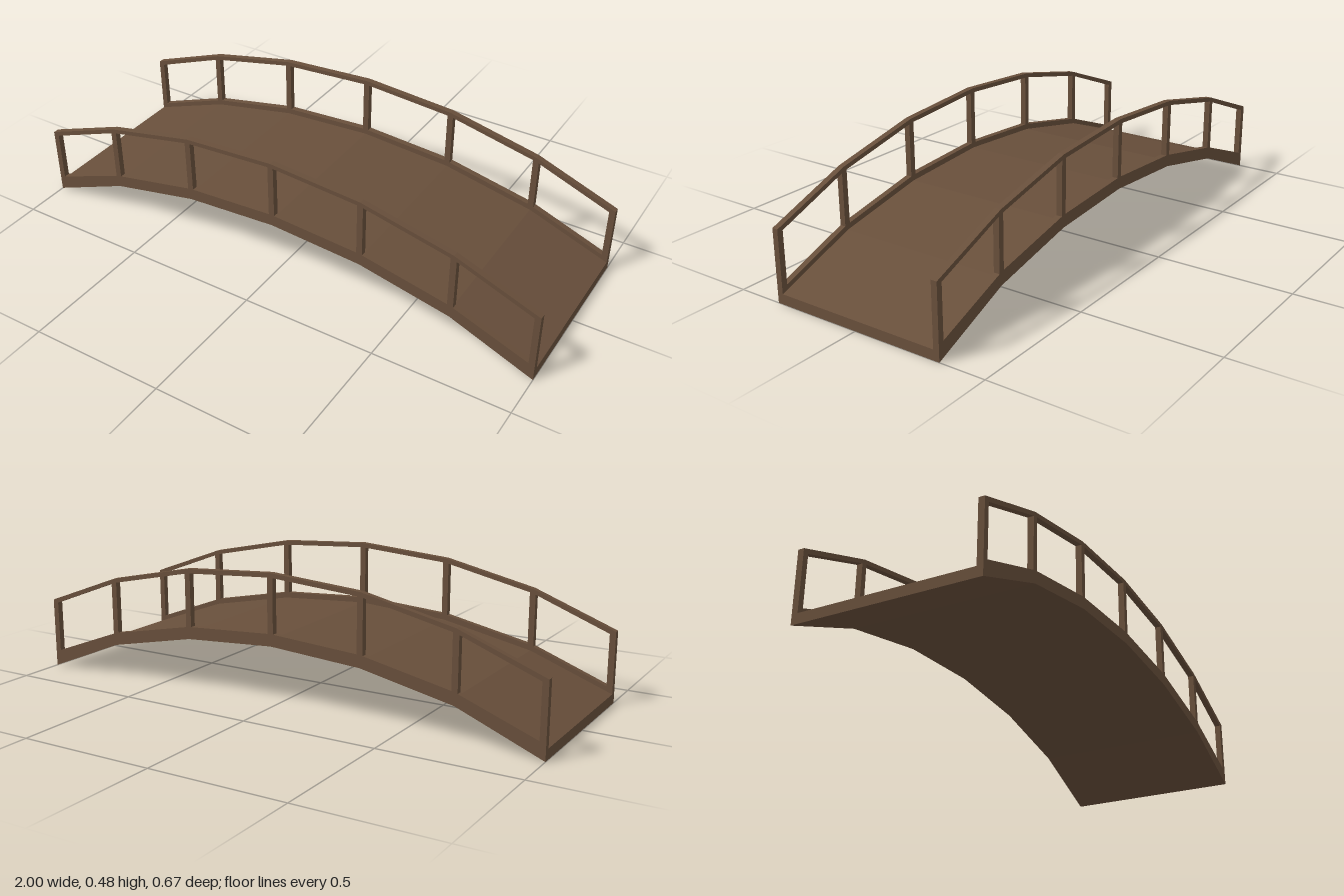
import * as THREE from 'three';

export function createModel() {
  const wood = new THREE.MeshStandardMaterial({ color: 0x684f3b });
  wood.name = 'brown wood';
  const bridge = new THREE.Group();
  bridge.name = 'archedFootbridge';

  // Arch stations: heights of the underside, walkway, kerb top and handrail
  const xs = [-1, -0.692, -0.35, 0, 0.35, 0.692, 1];
  const mirror = (a) => [...a, ...a.slice(0, 3).reverse()];
  const under = mirror([0, 0.125, 0.196, 0.219]);
  const walk = mirror([0.037, 0.151, 0.22, 0.243]);
  const kerb = mirror([0.055, 0.171, 0.241, 0.263]);
  const railTop = mirror([0.262, 0.378, 0.452, 0.476]);
  const railLow = railTop.map((y, i) => y - (i === 0 || i === 6 ? 0.018 : 0.016));
  const halfWidth = 0.333, sideThick = 0.022, post = 0.022;

  const line = (ys) => xs.map((x, i) => new THREE.Vector2(x, ys[i]));
  const band = (low, high) => new THREE.Shape([...line(low), ...line(high).reverse()]);
  const heightAt = (ys, i, x) => THREE.MathUtils.mapLinear(x, xs[i], xs[i + 1], ys[i], ys[i + 1]);

  const addPart = (name, shape, depth, z) => {
    const geometry = new THREE.ExtrudeGeometry(shape, { depth, bevelEnabled: false });
    const mesh = new THREE.Mesh(geometry, wood);
    mesh.name = name;
    mesh.position.z = z;
    bridge.add(mesh);
  };

  // Walkway between the two sides
  const inner = halfWidth - sideThick;
  addPart('deck', band(under, walk), inner * 2, -inner);

  // Side frame: kerb, posts and handrail in one piece, with an opening per bay
  const frame = band(under, railTop);
  for (let i = 0; i < 6; i++) {
    const a = xs[i] + (i === 0 ? post : post / 2);
    const b = xs[i + 1] - (i === 5 ? post : post / 2);
    frame.holes.push(new THREE.Path([
      new THREE.Vector2(a, heightAt(kerb, i, a)),
      new THREE.Vector2(a, heightAt(railLow, i, a)),
      new THREE.Vector2(b, heightAt(railLow, i, b)),
      new THREE.Vector2(b, heightAt(kerb, i, b)),
    ]));
  }
  addPart('frontRailing', frame, sideThick, inner);
  addPart('backRailing', frame, sideThick, -halfWidth);

  return bridge;
}
